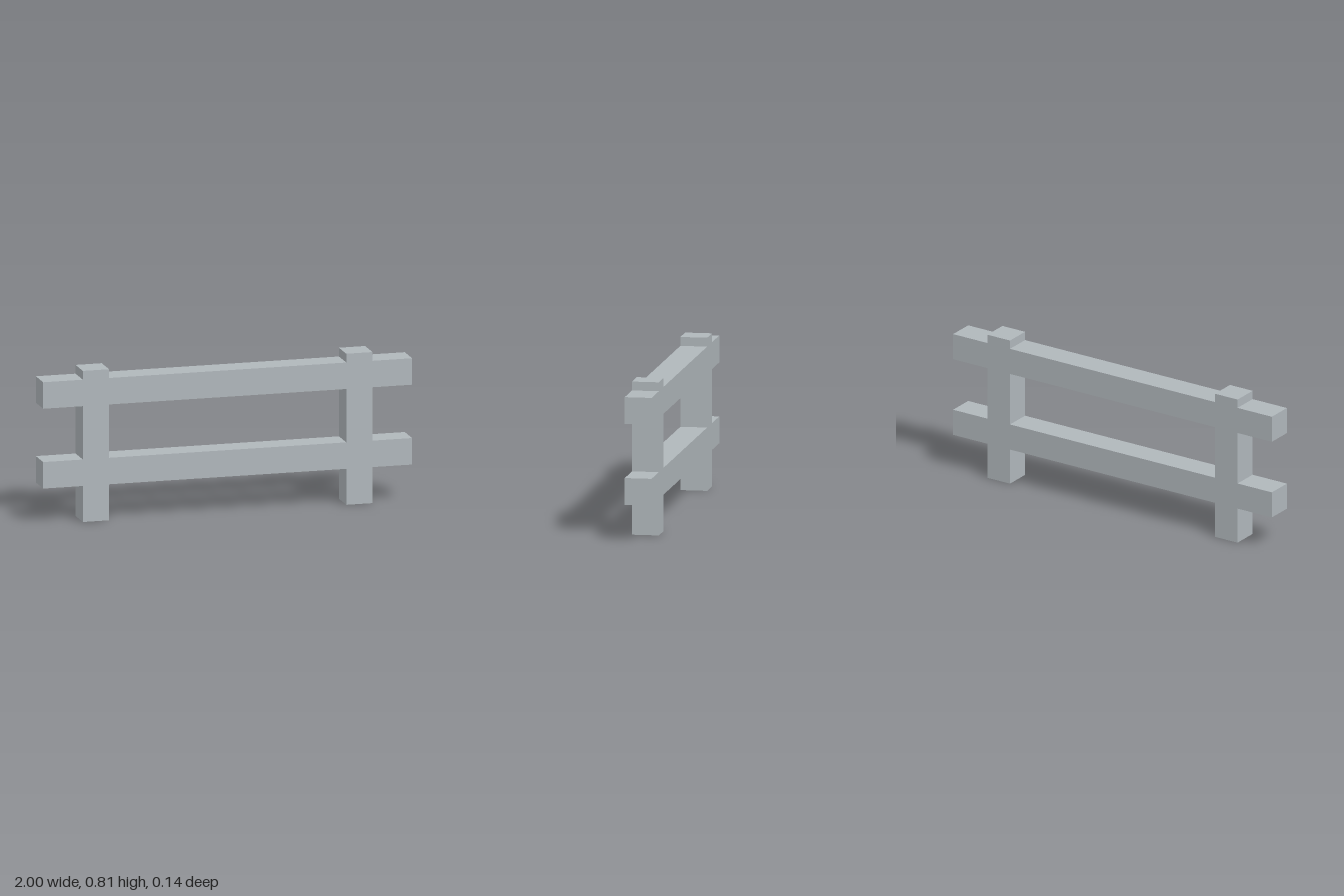
import * as THREE from 'three';

const T = 0.142;            // timber thickness
const HEIGHT = 0.81;        // post height
const POST_X = 0.714;       // post centre
const LOWER = 0.193;        // underside of the lower rail
const UPPER = 0.621;        // underside of the upper rail

export function createModel() {
  const model = new THREE.Group();
  model.name = 'fence';
  const timber = new THREE.MeshStandardMaterial({ color: 0xb0b7bb });
  timber.name = 'pale grey timber';

  const inner = POST_X - T / 2, outer = POST_X + T / 2;

  // Right half of the silhouette, from the post foot up to its inner top corner
  const half = [
    [inner, LOWER], [inner, 0], [outer, 0],
    [outer, LOWER], [1, LOWER], [1, LOWER + T], [outer, LOWER + T],
    [outer, UPPER], [1, UPPER], [1, UPPER + T], [outer, UPPER + T],
    [outer, HEIGHT], [inner, HEIGHT], [inner, UPPER + T],
  ];
  const mirrored = half.map(([x, y]) => [-x, y]).reverse();
  const toPoints = (list) => list.map(([x, y]) => new THREE.Vector2(x, y));
  const outline = new THREE.Shape(toPoints([...half, ...mirrored]));

  // Opening between the posts and the two rails
  outline.holes.push(new THREE.Path(toPoints([
    [-inner, LOWER + T], [-inner, UPPER], [inner, UPPER], [inner, LOWER + T],
  ])));

  // Posts and rails are flush, so they form one solid frame
  const geometry = new THREE.ExtrudeGeometry(outline, { depth: T, bevelEnabled: false });
  geometry.translate(0, 0, -T / 2);
  const frame = new THREE.Mesh(geometry, timber);
  frame.name = 'postsAndRails';
  model.add(frame);
  return model;
}
